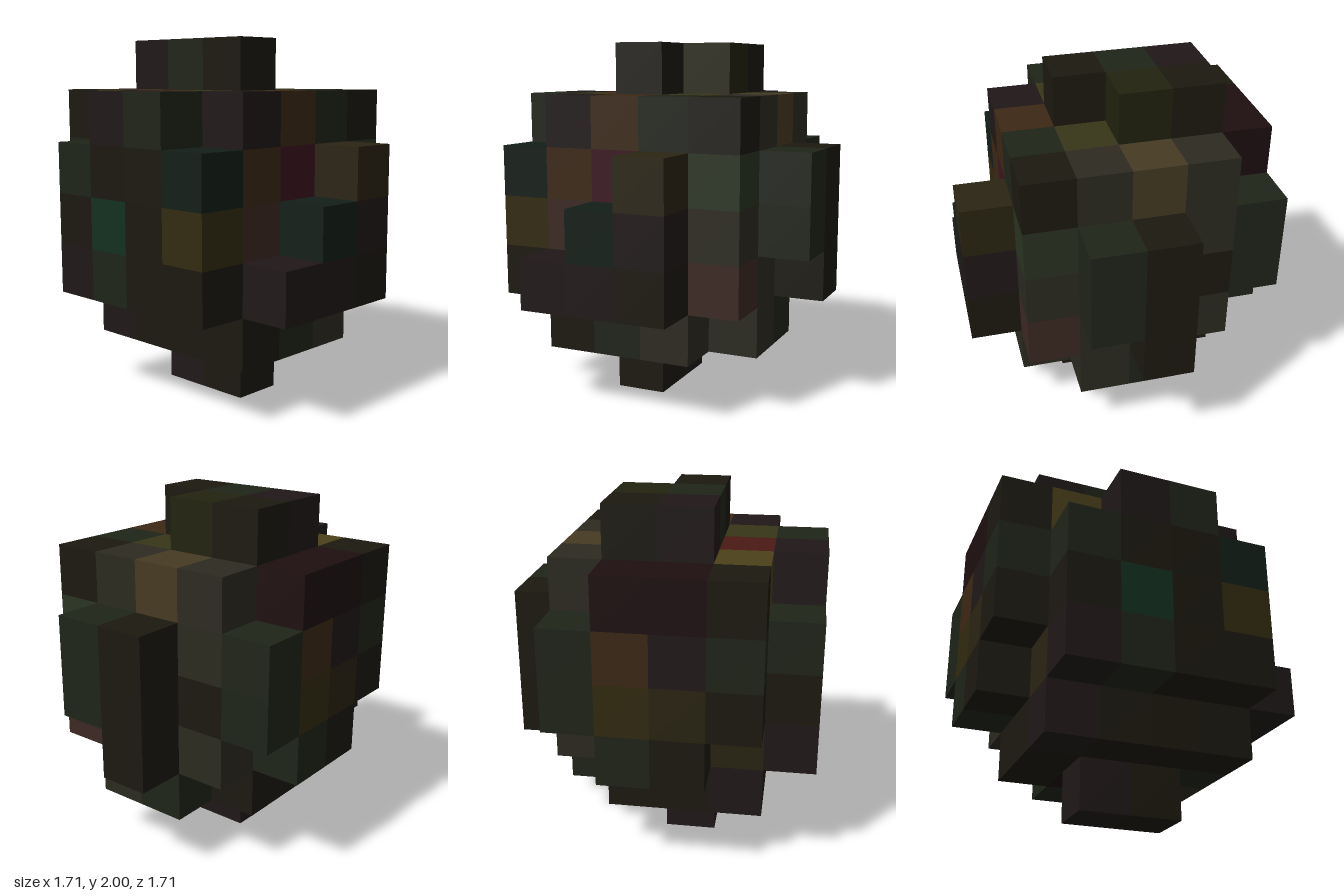
import * as THREE from 'three';
import { mergeGeometries } from 'three/addons/utils/BufferGeometryUtils.js';

const CELL = 2 / 7;

// One letter per block colour
const PALETTE = {
  d: ['darkOlive', 0x1c1910], k: ['darkUmber', 0x201818], g: ['darkGreen', 0x1f2419],
  t: ['teal', 0x131e17], b: ['brown', 0x3c2814], r: ['red', 0x4b1a14],
  y: ['yellow', 0x4b401a], m: ['magenta', 0x3c1420], o: ['olive', 0x2a2412],
  s: ['stone', 0x2c2a20], n: ['tan', 0x463a22], f: ['moss', 0x2a3422],
  e: ['emerald', 0x123020], p: ['clay', 0x3c2822], v: ['lightOlive', 0x383618],
  w: ['wine', 0x1e0f10], a: ['amber', 0x322a10], l: ['oliveGreen', 0x22220f],
};

// Layers from bottom to top; rows run from back to front, letters from -x to +x
const LAYERS = [
  ['......', '......', '..k...', '..d...', '......', '......'],
  ['......', '.kdd..', '.ddwg.', '.ddts.', '.dgs..', '......'],
  ['..dg..', 'kodds.', 'gddddd', 'dddds.', 'ddddp.', '.kkd..'],
  ['.doag.', 'ddddd.', 'eddddd', 'dddddg', 'apdds.', '..tk..'],
  ['.gkbg.', 'gddds.', 'dddddd', 'dddddg', 'tbmdf.', '...o..'],
  ['.dww..', '.ydds.', 'krddn.', 'gvdvs.', '.kbgd.', '......'],
  ['......', '..kd..', '..gl..', '..d...', '......', '......'],
];

const blockAt = (x, y, z) => {
  const c = LAYERS[y]?.[z]?.[x];
  return c && c !== '.' ? c : null;
};

// The six outward faces of a block: direction and a square turned to face it
const FACES = [
  [1, 0, 0], [-1, 0, 0], [0, 1, 0], [0, -1, 0], [0, 0, 1], [0, 0, -1],
].map((d) => {
  const turn = new THREE.Quaternion().setFromUnitVectors(
    new THREE.Vector3(0, 0, 1), new THREE.Vector3(...d));
  if (d[2] === -1) turn.setFromAxisAngle(new THREE.Vector3(0, 1, 0), Math.PI);
  const square = new THREE.PlaneGeometry(CELL, CELL).translate(0, 0, CELL / 2);
  return { d, square: square.applyQuaternion(turn) };
});

export function createModel() {
  const group = new THREE.Group();
  group.name = 'blockBoulder';

  // Collect the exposed block faces by colour
  const faces = {};
  LAYERS.forEach((rows, y) => rows.forEach((row, z) => [...row].forEach((c, x) => {
    if (c === '.') return;
    for (const { d, square } of FACES) {
      if (blockAt(x + d[0], y + d[1], z + d[2])) continue;
      (faces[c] ??= []).push(square.clone().translate(
        (x - 2.5) * CELL, (y + 0.5) * CELL, (z - 2.5) * CELL));
    }
  })));

  // One mesh for all blocks of a colour
  for (const [c, list] of Object.entries(faces)) {
    const [name, color] = PALETTE[c];
    const mesh = new THREE.Mesh(mergeGeometries(list), new THREE.MeshStandardMaterial({ color }));
    mesh.name = `${name}Blocks`;
    group.add(mesh);
  }
  return group;
}
